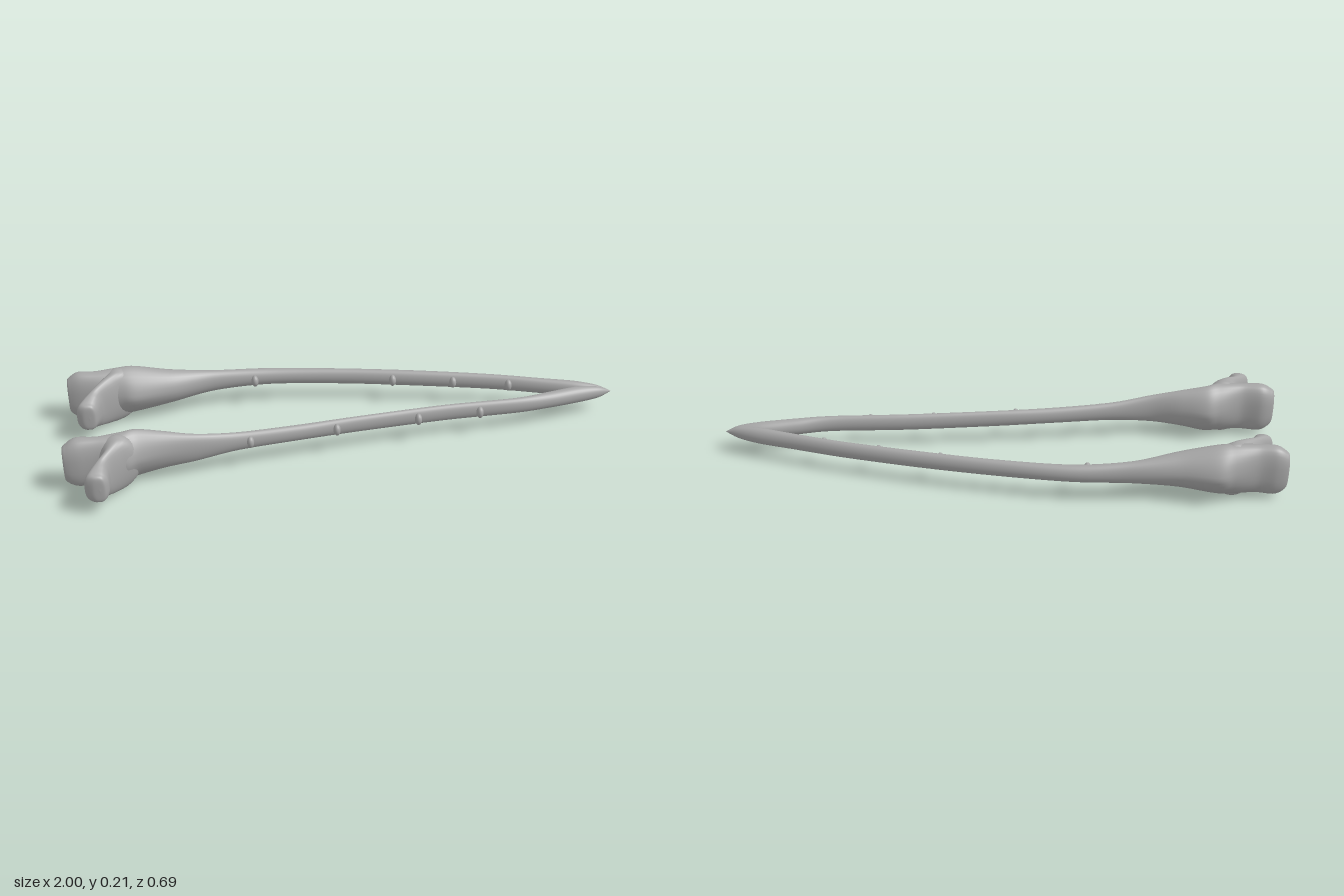
import * as THREE from 'three';

const RING = 32;

// Smooth loft through rows [s, a0, a1, y0, y1, e]: s is the position along the axis,
// a0..a1 the sideways extent, y0..y1 the height, e the section (below 1 boxy, above 1 pointed)
function loft(rows, axis, steps = 7) {
  const side = new THREE.CatmullRomCurve3(rows.map(r => new THREE.Vector3(r[0], r[1], r[2])), false, 'catmullrom', 0.45);
  const tall = new THREE.CatmullRomCurve3(rows.map(r => new THREE.Vector3(r[3], r[4], r[5] ?? 1)), false, 'catmullrom', 0.45);
  const n = (rows.length - 1) * steps;
  const pos = [], idx = [];
  const pow = (v, e) => Math.sign(v) * Math.pow(Math.abs(v), e);
  for (let i = 0; i <= n; i++) {
    const p = side.getPoint(i / n), q = tall.getPoint(i / n);
    for (let j = 0; j < RING; j++) {
      const t = (j / RING) * Math.PI * 2;
      const c = pow(Math.cos(t), q.z), s = pow(Math.sin(t), q.z);
      const y = (q.x + q.y) / 2 + ((q.y - q.x) / 2) * s;
      const mid = (p.y + p.z) / 2, half = (p.z - p.y) / 2;
      if (axis === 'x') pos.push(p.x, y, mid + half * c);
      else pos.push(mid - half * c, y, p.x);
      if (i < n) {
        const a = i * RING + j, b = i * RING + (j + 1) % RING;
        idx.push(a, a + RING, b + RING, a, b + RING, b);
      }
    }
  }
  const g = new THREE.BufferGeometry();
  g.setAttribute('position', new THREE.Float32BufferAttribute(pos, 3));
  g.setIndex(idx);
  g.computeVertexNormals();
  return g;
}

// Long bones running from the dished joint end to the shared tip
const frontShaft = [
  [-0.975, 0.17, 0.17, 0.105, 0.105, 1],
  [-1.0, 0.15, 0.195, 0.05, 0.16, 0.85],
  [-0.985, 0.135, 0.205, 0.025, 0.18, 0.8],
  [-0.95, 0.125, 0.21, 0.01, 0.197, 0.8],
  [-0.88, 0.132, 0.21, 0.012, 0.197, 0.9],
  [-0.80, 0.1, 0.23, 0.012, 0.2, 1.1],
  [-0.75, 0.085, 0.21, 0.015, 0.198, 1.25],
  [-0.66, 0.105, 0.19, 0.035, 0.18, 1.1],
  [-0.55, 0.125, 0.173, 0.05, 0.158],
  [-0.40, 0.11, 0.15, 0.065, 0.135],
  [-0.185, 0.085, 0.125, 0.065, 0.125],
  [0.03, 0.065, 0.1, 0.062, 0.123],
  [0.35, 0.04, 0.075, 0.058, 0.12],
  [0.62, 0.03, 0.068, 0.055, 0.115],
  [0.75, 0.003, 0.055, 0.052, 0.113],
  [0.87, -0.02, 0.035, 0.05, 0.111],
  [0.95, -0.016, 0.019, 0.057, 0.1],
  [1.0, 0, 0, 0.077, 0.077],
];
const backShaft = [
  [-0.96, -0.262, -0.262, 0.105, 0.105, 1],
  [-0.985, -0.285, -0.24, 0.05, 0.16, 0.85],
  [-0.972, -0.295, -0.23, 0.025, 0.18, 0.8],
  [-0.94, -0.3, -0.22, 0.01, 0.197, 0.8],
  [-0.88, -0.298, -0.21, 0.012, 0.197, 0.9],
  [-0.80, -0.325, -0.195, 0.012, 0.2, 1.1],
  [-0.74, -0.345, -0.185, 0.015, 0.198, 1.25],
  [-0.61, -0.32, -0.21, 0.04, 0.17, 1.1],
  [-0.45, -0.31, -0.255, 0.06, 0.142],
  [-0.24, -0.31, -0.26, 0.065, 0.128],
  [0.03, -0.267, -0.225, 0.062, 0.123],
  [0.30, -0.212, -0.17, 0.058, 0.12],
  [0.565, -0.147, -0.108, 0.055, 0.116],
  [0.75, -0.092, -0.05, 0.052, 0.113],
  [0.87, -0.057, -0.01, 0.05, 0.111],
  [0.95, -0.026, 0.006, 0.057, 0.1],
  [1.0, 0, 0, 0.077, 0.077],
];

// Hooked joint lobes, lofted along z
const frontHook = [
  [0.14, -0.84, -0.8, 0.08, 0.13],
  [0.165, -0.89, -0.74, 0.004, 0.197],
  [0.2, -0.885, -0.75, 0, 0.2],
  [0.235, -0.88, -0.8, 0.008, 0.19],
  [0.27, -0.9, -0.84, 0.022, 0.175, 0.9],
  [0.3, -0.92, -0.847, 0.034, 0.166, 0.8],
  [0.325, -0.93, -0.85, 0.045, 0.157, 0.75],
  [0.342, -0.905, -0.862, 0.056, 0.145, 0.75],
  [0.345, -0.88, -0.88, 0.1, 0.1],
];
const backHook = [
  [-0.3, -0.82, -0.78, 0.08, 0.13],
  [-0.27, -0.87, -0.73, 0.004, 0.197],
  [-0.235, -0.88, -0.74, 0, 0.2],
  [-0.2, -0.9, -0.8, 0.008, 0.19],
  [-0.165, -0.92, -0.855, 0.022, 0.175, 0.9],
  [-0.14, -0.94, -0.868, 0.034, 0.166, 0.8],
  [-0.115, -0.955, -0.878, 0.045, 0.155, 0.75],
  [-0.098, -0.935, -0.89, 0.056, 0.143, 0.75],
  [-0.095, -0.91, -0.91, 0.1, 0.1],
];

export function createModel() {
  const model = new THREE.Group();
  const bone = new THREE.MeshStandardMaterial({ color: 0xa6a6a6 });
  bone.name = 'boneGrey';

  const add = (parent, name, geometry) => {
    const mesh = new THREE.Mesh(geometry, bone);
    mesh.name = name;
    parent.add(mesh);
    return mesh;
  };

  const knob = new THREE.SphereGeometry(1, 16, 12);
  const buildBone = (name, shaft, hook, knobs) => {
    const group = new THREE.Group();
    group.name = name;
    add(group, 'shaft', loft(shaft, 'x'));
    add(group, 'jointHook', loft(hook, 'z'));
    // Row of small knobs along the front of the shaft
    for (const [x, y, z] of knobs) {
      const k = add(group, 'knob', knob);
      k.position.set(x, y, z);
      k.scale.set(0.013, 0.022, 0.018);
    }
    model.add(group);
  };

  buildBone('frontBone', frontShaft, frontHook,
    [[-0.36, 0.1, 0.143], [-0.05, 0.095, 0.111], [0.25, 0.09, 0.086], [0.48, 0.087, 0.074]]);
  buildBone('backBone', backShaft, backHook,
    [[-0.3, 0.098, -0.256], [0.21, 0.09, -0.188], [0.43, 0.088, -0.14], [0.63, 0.086, -0.089]]);

  return model;
}
